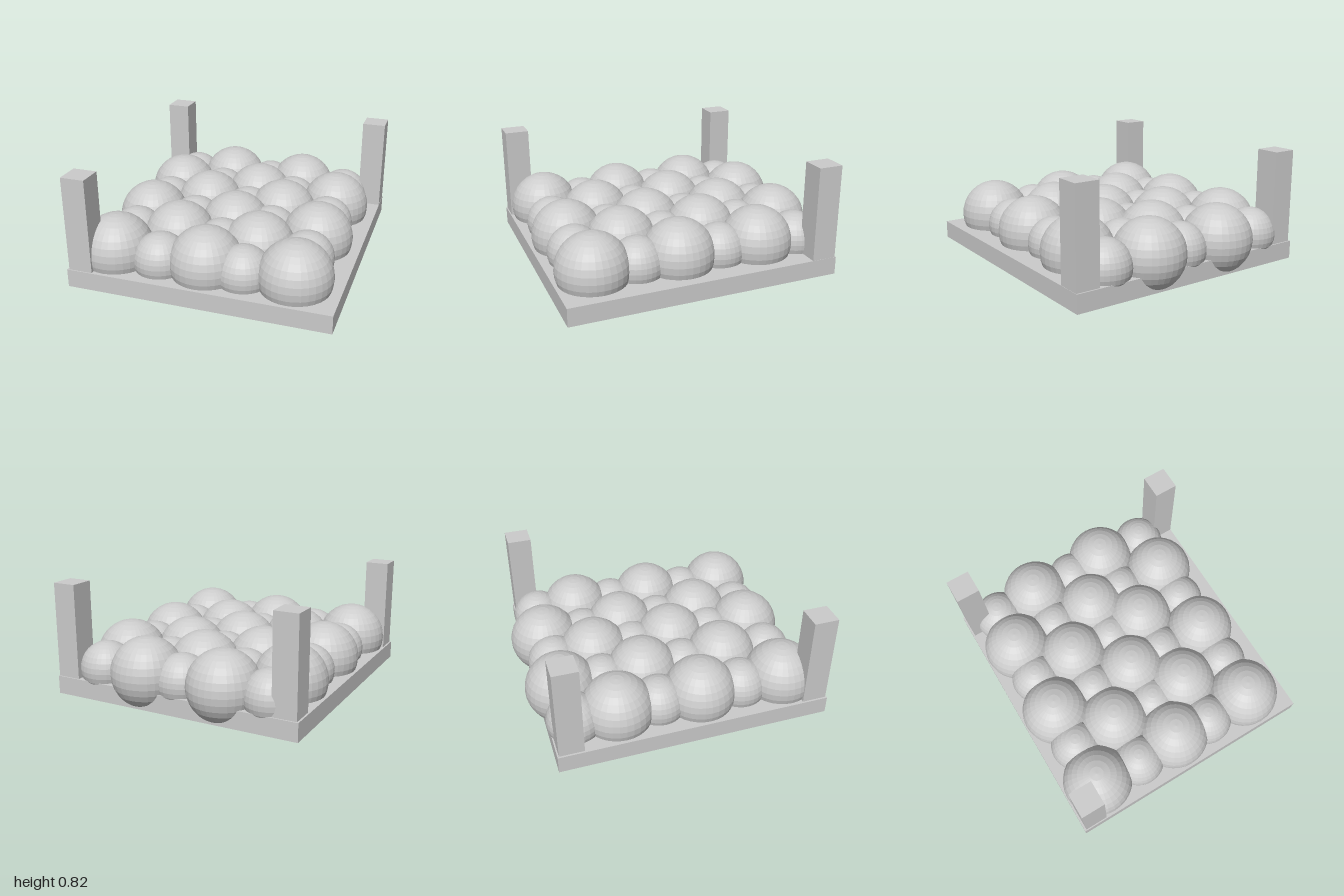
import * as THREE from 'three';

export function createModel() {
  const group = new THREE.Group();
  const mat = new THREE.MeshStandardMaterial({ color: 0xcccccc, flatShading: true });

  // Box given by its minimum and maximum corners
  function box(name, [x0, y0, z0], [x1, y1, z1]) {
    const mesh = new THREE.Mesh(new THREE.BoxGeometry(x1 - x0, y1 - y0, z1 - z0), mat);
    mesh.position.set((x0 + x1) / 2, (y0 + y1) / 2, (z0 + z1) / 2);
    mesh.name = name;
    group.add(mesh);
  }

  // Base slab
  box('baseSlab', [-0.9, 0.042, -0.9], [0.9, 0.168, 0.995]);

  // Three corner posts; the front left corner stays open
  box('frontRightPost', [-0.887, 0.06, 0.817], [-0.721, 0.825, 0.987]);
  box('backRightPost', [-0.887, 0.06, -0.89], [-0.721, 0.825, -0.72]);
  box('backLeftPost', [0.732, 0.06, -0.89], [0.898, 0.825, -0.72]);

  // Large and small balls alternating in a checkerboard
  const bigGeo = new THREE.SphereGeometry(0.247, 32, 16);
  const smallGeo = new THREE.SphereGeometry(0.185, 32, 16);
  const columns = [-0.647, -0.321, -0.006, 0.259, 0.599];
  const oddColumn = { big: [-0.438, 0.145, 0.74], small: [-0.735, -0.152, 0.438] };
  const evenColumn = { big: [-0.75, -0.168, 0.427], small: [-0.455, 0.13, 0.762] };

  function ball(name, geo, x, y, z) {
    const mesh = new THREE.Mesh(geo, mat);
    mesh.position.set(x, y, z);
    mesh.name = name;
    group.add(mesh);
  }

  columns.forEach((x, i) => {
    const rows = i % 2 ? evenColumn : oddColumn;
    rows.big.forEach((z) => ball('largeBall', bigGeo, x, 0.253, z));
    rows.small.forEach((z) => ball('smallBall', smallGeo, x, 0.234, z));
  });

  return group;
}
